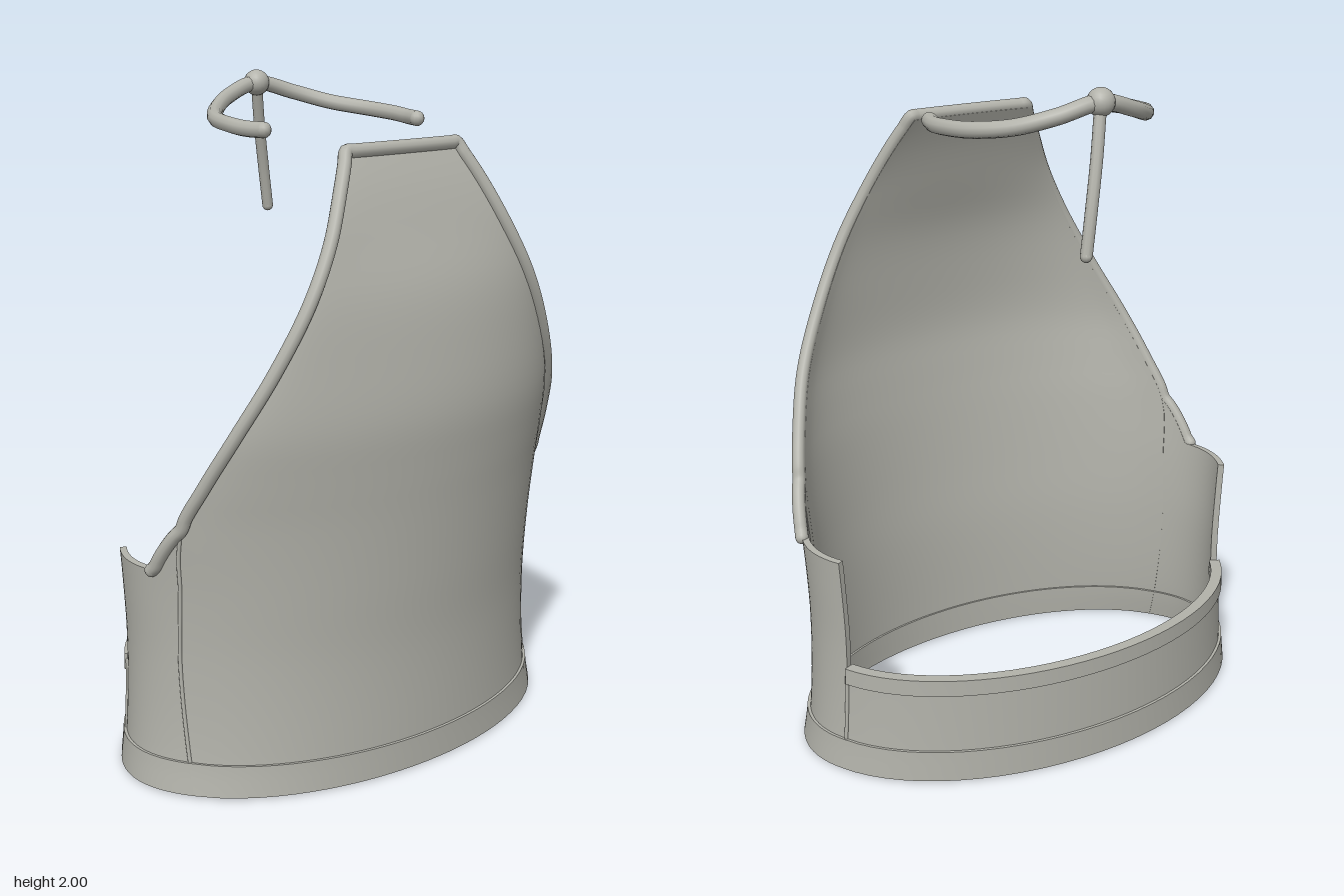
import * as THREE from 'three';

const cloth = new THREE.MeshStandardMaterial({ color: 0xb2b2aa, side: THREE.DoubleSide });
cloth.name = 'greyCloth';

// Per height: front edge x, front edge z, front centre z, side half width
const heights = [0, 0.1, 0.4, 0.6, 0.82, 0.95, 1.1, 1.27, 1.45, 1.6, 1.74, 1.84];
const rows = [
  0.655, 0.19, 0.43, 0.735, 0.655, 0.165, 0.43, 0.722, 0.66, 0.135, 0.435, 0.708,
  0.66, 0.145, 0.45, 0.716, 0.665, 0.17, 0.468, 0.73, 0.63, 0.235, 0.48, 0.73,
  0.575, 0.31, 0.49, 0.73, 0.49, 0.37, 0.475, 0.73, 0.395, 0.4, 0.445, 0.73,
  0.315, 0.385, 0.395, 0.73, 0.245, 0.34, 0.345, 0.73, 0.19, 0.295, 0.3, 0.73,
];
const table = new THREE.CubicInterpolant(heights, rows, 4, new Float32Array(4));

// Point on the garment: s 0-1 front, 1-2 left side, 2-3 back, 3-4 right side
function body(s, y) {
  const [ex, ez, cz, a] = table.evaluate(y);
  const b = 0.46, phi = Math.asin(0.14 / b);
  if (s <= 1) {
    const u = 2 * s - 1, k = 0.83, low = Math.sqrt(1 - k);
    const bulge = (Math.sqrt(1 - k * u * u) - low) / (1 - low);
    return new THREE.Vector3(ex * u, y, ez + (cz - ez) * bulge);
  }
  if (s <= 2 || s > 3) {
    const t = s <= 2 ? s - 1 : 4 - s;
    const bx = a * Math.cos(phi), mx = 2 * a - (ex + bx) / 2;
    const q = (p0, p1, p2) => (1 - t) ** 2 * p0 + 2 * t * (1 - t) * p1 + t * t * p2;
    return new THREE.Vector3(q(ex, mx, bx) * (s <= 2 ? 1 : -1), y, q(ez, (ez - 0.14) / 2, -0.14));
  }
  const ang = phi + (s - 2) * (Math.PI - 2 * phi);
  return new THREE.Vector3(a * Math.cos(ang), y, -b * Math.sin(ang));
}

// Solid sheet of cloth from a surface rule fn(u, v), from offset out to offset inn
function shell(name, fn, nu, nv, out = 0, inn = -0.02) {
  const pos = [], idx = [], e = 1e-3;
  const at = (u, v, off) => {
    const du = fn(Math.min(u + e, 1), v).sub(fn(Math.max(u - e, 0), v));
    const dv = fn(u, Math.min(v + e, 1)).sub(fn(u, Math.max(v - e, 0)));
    return fn(u, v).addScaledVector(du.cross(dv).normalize(), off);
  };
  const grid = (f, n, m, flip) => {
    const base = pos.length / 3;
    for (let j = 0; j <= m; j++)
      for (let i = 0; i <= n; i++) pos.push(...f(i / n, j / m).toArray());
    for (let j = 0; j < m; j++)
      for (let i = 0; i < n; i++) {
        const a = base + j * (n + 1) + i, b = a + 1, c = a + n + 1, d = c + 1;
        idx.push(...(flip ? [a, c, b, b, c, d] : [a, b, c, b, d, c]));
      }
  };
  const mix = (t) => out + (inn - out) * t;
  grid((u, v) => at(u, v, out), nu, nv, false);
  grid((u, v) => at(u, v, inn), nu, nv, true);
  for (const k of [0, 1]) {
    grid((u, t) => at(u, k, mix(t)), nu, 1, k === 0);
    grid((v, t) => at(k, v, mix(t)), nv, 1, k === 1);
  }
  const g = new THREE.BufferGeometry();
  g.setAttribute('position', new THREE.Float32BufferAttribute(pos, 3));
  g.setIndex(idx);
  g.computeVertexNormals();
  const m = new THREE.Mesh(g, cloth);
  m.name = name;
  return m;
}

// Round cord through points, with rounded ends
function cord(name, pts, r, closed = false) {
  const group = new THREE.Group();
  group.name = name;
  const curve = new THREE.CatmullRomCurve3(pts, closed, 'centripetal');
  group.add(new THREE.Mesh(new THREE.TubeGeometry(curve, pts.length * 5, r, 10, closed), cloth));
  if (!closed)
    for (const p of [pts[0], pts[pts.length - 1]]) {
      const cap = new THREE.Mesh(new THREE.SphereGeometry(r, 12, 8), cloth);
      cap.position.copy(p);
      group.add(cap);
    }
  return group;
}

const sample = (n, f) => Array.from({ length: n + 1 }, (_, i) => f(i / n));
const V = (x, y, z) => new THREE.Vector3(x, y, z);
const lerp = THREE.MathUtils.lerp;

export function createModel() {
  const model = new THREE.Group();
  model.name = 'halterTop';

  // Cloth panels
  const base = 0.015, topY = 1.83, bandTop = 0.33;
  const sideTop = (t) => 0.68 + 0.14 * Math.max(0, 1 - t / 0.25);
  model.add(shell('frontPanel', (u, v) => body(u, lerp(base, topY, v)), 40, 48));
  model.add(shell('leftSidePanel', (u, v) => body(1 + u, lerp(base, sideTop(u), v)), 16, 16));
  model.add(shell('rightSidePanel', (u, v) => body(3.00001 + u * 0.99999, lerp(base, sideTop(1 - u), v)), 16, 16));
  model.add(shell('backBand', (u, v) => body(2.00001 + u * 0.99999, lerp(base, bandTop, v)), 32, 8));

  // Hem flaring slightly around the bottom
  model.add(shell('hem', (u, v) => body(u * 4, lerp(0.01, 0.105, v)), 112, 4, 0.009, -0.026));

  // Piping along the armholes and neckline
  const edge = (dir) => {
    const s = (t) => (dir > 0 ? 1 + t : 4 - t);
    return [
      ...sample(6, (i) => { const t = 0.27 * (1 - i); return body(s(t), sideTop(t)); }).slice(0, -1),
      ...sample(30, (i) => body(dir > 0 ? 1 : 0, lerp(0.82, topY, i))),
    ];
  };
  const neck = sample(20, (i) => body(i, topY)).slice(1, -1);
  const outline = [...edge(-1), ...neck, ...edge(1).reverse()];
  model.add(cord('edgePiping', outline, 0.02));

  // Trim on the back band
  model.add(shell('backBandTrim', (u, v) => body(2.00001 + u * 0.99999, lerp(0.29, 0.34, v)), 32, 3, 0.009, -0.026));

  // Stitched seams
  for (const [name, s, y1] of [
    ['leftFrontSeam', 1, 0.8], ['rightFrontSeam', 0, 0.8],
    ['leftBackSeam', 2, 0.32], ['rightBackSeam', 3, 0.32],
  ]) model.add(cord(name, sample(10, (i) => body(s, lerp(0.03, y1, i))), 0.006));

  // Neck ring, open at the front
  const half = [
    V(0.12, 1.93, -0.378), V(0.21, 1.9, -0.31), V(0.28, 1.883, -0.205),
    V(0.3, 1.875, -0.1), V(0.295, 1.87, -0.03), V(0.278, 1.87, 0.03),
  ];
  const mirrored = half.map((p) => V(-p.x, p.y, p.z)).reverse();
  model.add(cord('neckRing', [...mirrored, V(0, 1.962, -0.405), ...half], 0.023));

  // Knot and hanging tie at the nape
  const knot = new THREE.Mesh(new THREE.SphereGeometry(0.039, 20, 14), cloth);
  knot.name = 'knot';
  knot.position.set(0, 1.962, -0.405);
  model.add(knot);
  model.add(cord('hangingTie', [V(0, 1.962, -0.405), V(0.03, 1.82, -0.435), V(0.058, 1.69, -0.456), V(0.08, 1.57, -0.468)], 0.017));

  return model;
}
